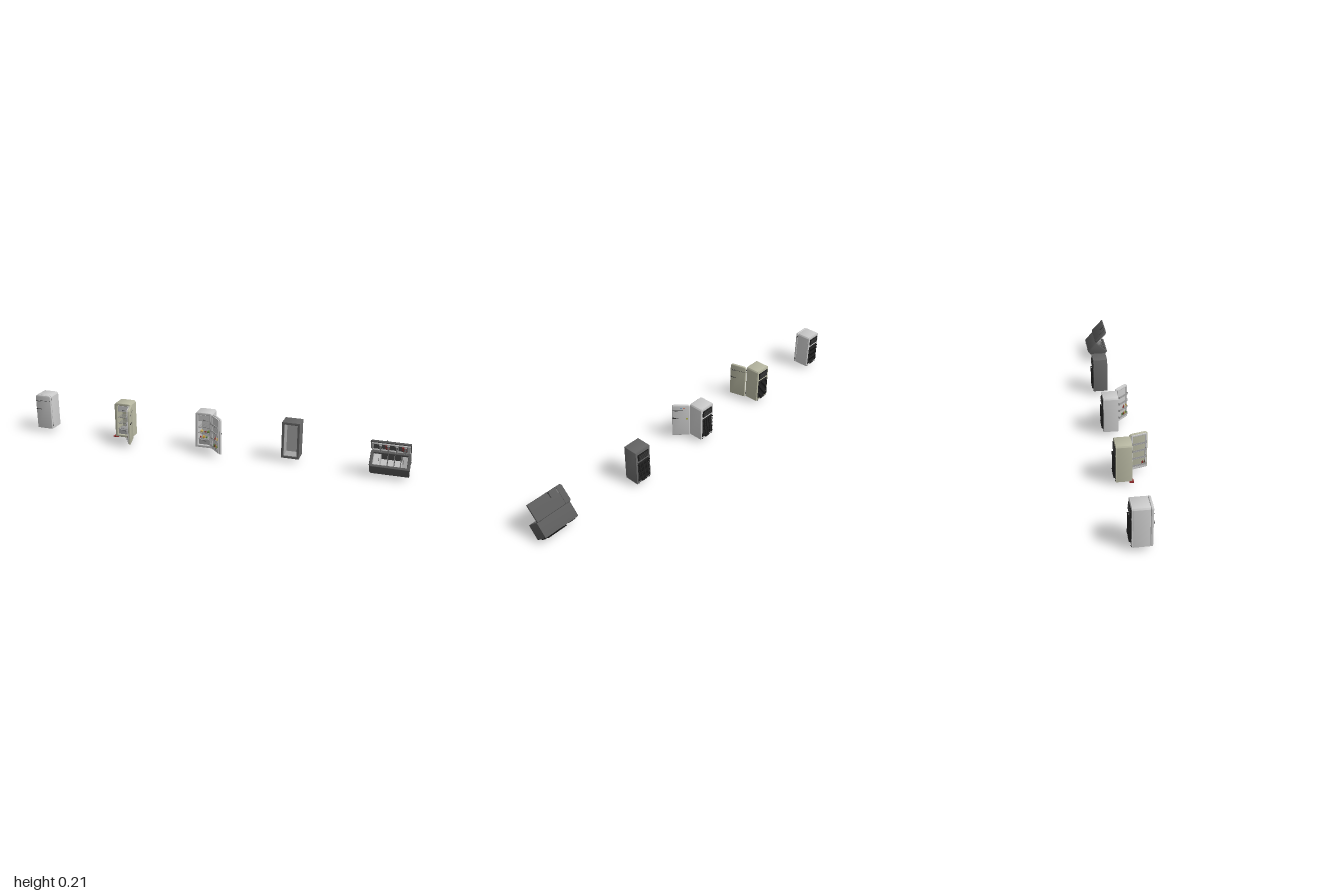
import * as THREE from 'three';
import { toCreasedNormals } from 'three/addons/utils/BufferGeometryUtils.js';

const W = 0.09, H = 0.189, D = 0.076, WALL = 0.011;
const mats = {};
const mat = (color) => (mats[color] ??= new THREE.MeshStandardMaterial({ color }));

function add(parent, name, geometry, color, x = 0, y = 0, z = 0) {
  const mesh = new THREE.Mesh(geometry, mat(color));
  mesh.name = name;
  mesh.position.set(x, y, z);
  parent.add(mesh);
  return mesh;
}
const box = (parent, name, w, h, d, color, x, y, z) =>
  add(parent, name, new THREE.BoxGeometry(w, h, d), color, x, y, z);

// Upright outline, base on y = y0, with rounded upper corners
function outline(Type, w, h, r, y0 = 0) {
  const s = new Type();
  const x = w / 2, top = y0 + h;
  s.moveTo(-x, y0);
  s.lineTo(x, y0);
  s.lineTo(x, top - r);
  s.absarc(x - r, top - r, r, 0, Math.PI / 2, false);
  s.lineTo(-x + r, top);
  s.absarc(-x + r, top - r, r, Math.PI / 2, Math.PI, false);
  s.closePath();
  return s;
}

// Extruded slab occupying z from z0 to z0 + depth, bevel included
function slab(w, h, r, z0, depth, bevel, hole) {
  const b = bevel;
  const s = outline(THREE.Shape, w - 2 * b, h - 2 * b, Math.max(r - b, 0.0005), b);
  if (hole) s.holes.push(hole);
  const g = new THREE.ExtrudeGeometry(s, {
    depth: depth - 2 * b, bevelEnabled: true, bevelSize: b, bevelThickness: b,
    bevelSegments: 3, curveSegments: 8,
  });
  g.translate(0, 0, z0 + b);
  return toCreasedNormals(g, 0.6);
}

// Cabinet shell with a lined cavity open to the front
function cabinet(parent, color, liner, radius) {
  const g = new THREE.Group();
  g.name = 'cabinet';
  parent.add(g);
  const iw = W - 2 * WALL, ih = H - 2 * WALL, zc = -0.037;
  const bevel = radius > 0.005 ? 0.002 : 0.0006;
  const hole = outline(THREE.Path, iw, ih, 0.002, WALL);
  add(g, 'shell', slab(W, H, radius, -D + 0.004, D - 0.004, bevel, hole), color);
  add(g, 'backPanel', slab(W, H, radius, -D, 0.006, bevel), color);
  box(g, 'linerBack', iw, ih, 0.002, liner, 0, H / 2, -0.067);
  for (const s of [-1, 1]) {
    box(g, 'linerSide', 0.0016, ih, 0.066, liner, s * (iw / 2 - 0.0006), H / 2, zc);
    box(g, 'linerEnd', iw, 0.0016, 0.066, liner, 0, H / 2 + s * (ih / 2 - 0.0006), zc);
  }
}

// Vent, condenser coil and compressor on the rear
function rear(parent) {
  const g = new THREE.Group();
  g.name = 'rear';
  parent.add(g);
  const black = 0x1c1c1c;
  box(g, 'ventFrame', 0.066, 0.036, 0.004, black, 0, 0.154, -D - 0.002);
  for (let i = 0; i < 6; i++)
    box(g, 'ventSlat', 0.056, 0.0025, 0.002, 0x333333, 0, 0.141 + i * 0.0052, -D - 0.0045);
  box(g, 'recessPlate', 0.07, 0.112, 0.001, 0x252525, 0, 0.068, -D - 0.0004);

  // Serpentine tube
  const pts = [];
  const rows = 9, x = 0.033, z = -D - 0.006;
  for (let i = 0; i < rows; i++) {
    const y = 0.021 + i * 0.0122, s = i % 2 ? 1 : -1;
    for (const k of [-1, -0.85, 0.85, 1]) pts.push(new THREE.Vector3(-s * k * -x, y, z));
  }
  const path = new THREE.CatmullRomCurve3(pts, false, 'catmullrom', 0.2);
  add(g, 'condenserCoil', new THREE.TubeGeometry(path, 180, 0.0014, 6), black);
  for (let i = 0; i < 13; i++)
    box(g, 'condenserWire', 0.0012, 0.102, 0.001, black, -0.03 + i * 0.005, 0.07, z - 0.0018);
  for (const s of [-1, 1])
    for (const y of [0.024, 0.115])
      box(g, 'coilBracket', 0.004, 0.004, 0.008, black, s * 0.034, y, -D - 0.004);

  // Compressor pot and rear feet
  const pot = add(g, 'compressor', new THREE.CylinderGeometry(0.006, 0.006, 0.026, 16), black, 0, 0.009, -D - 0.001);
  pot.rotation.z = Math.PI / 2;
  for (const s of [-1, 1]) box(g, 'rearFoot', 0.007, 0.004, 0.006, black, s * 0.034, 0.001, -D + 0.002);
}

// Freezer box, wire shelves and crisper drawer
function interior(parent) {
  const g = new THREE.Group();
  g.name = 'interior';
  parent.add(g);
  const iw = W - 2 * WALL - 0.002;
  box(g, 'freezerBox', iw, 0.036, 0.052, 0xb8b8b8, 0, 0.157, -0.039);
  box(g, 'freezerDoor', iw - 0.008, 0.028, 0.002, 0xd8d8d8, 0, 0.157, -0.0125);
  box(g, 'freezerLatch', 0.014, 0.003, 0.002, 0x555555, 0, 0.147, -0.011);
  for (const y of [0.045, 0.075, 0.107]) {
    box(g, 'shelfFrontRail', iw, 0.002, 0.002, 0x888888, 0, y, -0.008);
    for (let i = 0; i < 12; i++)
      box(g, 'shelfWire', 0.0014, 0.0012, 0.057, 0x888888, -iw / 2 + 0.003 + i * (iw - 0.006) / 11, y, -0.037);
  }
  box(g, 'crisperDrawer', iw - 0.004, 0.026, 0.05, 0xa8a8a8, 0, 0.026, -0.037);
  box(g, 'drawerPull', 0.02, 0.003, 0.003, 0x666666, 0, 0.033, -0.011);
}

// Door hung on the left edge; its group turns about the hinge
function door(parent, color, angle) {
  const hinge = new THREE.Group();
  hinge.name = 'door';
  hinge.position.set(W / 2, 0, 0.0005);
  hinge.rotation.y = THREE.MathUtils.degToRad(angle);
  parent.add(hinge);
  const g = new THREE.Group();
  g.position.x = -W / 2;
  hinge.add(g);
  add(g, 'doorPanel', slab(W, H, 0.012, 0, 0.012, 0.004), color);
  box(g, 'doorTrim', W - 0.004, 0.0014, 0.001, 0x444444, 0, 0.158, 0.0119);
  box(g, 'badgePlate', 0.018, 0.004, 0.0012, 0x777777, -0.024, 0.154, 0.0122);
  box(g, 'handleBase', 0.008, 0.006, 0.003, 0x333333, -0.039, 0.111, 0.0125);
  const handle = add(g, 'handle', new THREE.CapsuleGeometry(0.0017, 0.026, 4, 8), 0x333333, -0.027, 0.111, 0.0145);
  handle.rotation.z = Math.PI / 2;
  for (const y of [0.02, 0.168]) box(g, 'hingePlate', 0.003, 0.009, 0.006, 0x444444, W / 2, y, 0.004);

  if (angle) {
    // Inner liner, gasket rim and door racks
    const rim = outline(THREE.Path, W - 0.026, H - 0.03, 0.004, 0.015);
    add(g, 'doorRim', slab(W - 0.012, H - 0.008, 0.008, -0.005, 0.006, 0.001, rim).translate(0, 0.004, 0), 0xc4c4c4);
    for (const y of [0.022, 0.062, 0.1, 0.137]) {
      box(g, 'rackFloor', W - 0.022, 0.002, 0.012, 0xa0a0a0, 0, y, -0.006);
      box(g, 'rackRail', W - 0.022, 0.006, 0.0015, 0xa0a0a0, 0, y + 0.006, -0.0118);
      for (const s of [-1, 1]) box(g, 'rackSide', 0.0015, 0.012, 0.012, 0xa0a0a0, s * (W / 2 - 0.011), y + 0.005, -0.006);
    }
  }
  return g;
}

function fridge(name, color, { angle = 0, liner = 0xcccccc, radius = 0.012, bare = false } = {}) {
  const g = new THREE.Group();
  g.name = name;
  cabinet(g, color, liner, radius);
  rear(g);
  if (bare) return { g };
  interior(g);
  return { g, doorGroup: door(g, color, angle) };
}

// Row of bottles standing in a door rack
function bottles(parent, y, colors) {
  const profile = [[0, 0], [0.0035, 0], [0.0035, 0.013], [0.0014, 0.018], [0.0014, 0.022], [0, 0.022]]
    .map(([x, h]) => new THREE.Vector2(x, h));
  colors.forEach((c, i) =>
    add(parent, 'bottle', new THREE.LatheGeometry(profile, 10), c, -0.027 + i * 0.0105, y + 0.001, -0.0065));
}

export function createModel() {
  const model = new THREE.Group();
  model.name = 'fridgeRow';
  const place = (f, x) => {
    f.g.position.set(x, 0.027, 0);
    model.add(f.g);
    return f;
  };

  place(fridge('closedFridge', 0xcccccc), -0.954);

  const worn = place(fridge('wornFridge', 0xb8b8a2, { angle: 105, liner: 0xb4b69c }), -0.489);
  box(worn.g, 'redScrap', 0.03, 0.004, 0.02, 0x8c2a2a, -0.042, 0.0005, -0.004);
  bottles(worn.doorGroup, 0.022, [0x5a4630, 0x8c2a2a]);

  // Stocked fridge with food and door magnets
  const stocked = place(fridge('stockedFridge', 0xcccccc, { angle: 134 }), -0.037);
  const food = [
    [-0.022, 0.046, 0x9c3028], [-0.007, 0.046, 0xc8a040], [0.01, 0.046, 0x4f7a34],
    [-0.018, 0.076, 0xc8b060], [0.004, 0.076, 0x8a3428], [0.02, 0.076, 0x6a8a3a],
  ];
  food.forEach(([x, y, c], i) => (i % 2
    ? box(stocked.g, 'foodBox', 0.012, 0.009, 0.016, c, x, y + 0.0045, -0.024)
    : add(stocked.g, 'fruit', new THREE.SphereGeometry(0.005, 12, 8), c, x, y + 0.005, -0.018)));
  bottles(stocked.doorGroup, 0.022, [0x4f7a34, 0xc8b060, 0x8a3428, 0x4f7a34]);
  bottles(stocked.doorGroup, 0.062, [0xc8a040, 0xe0e0d0, 0x9c3028]);
  [[0.001, 0.172, 0x3c8fd0], [0.016, 0.172, 0xd8502c]].forEach(([x, y, c]) => {
    add(stocked.doorGroup, 'magnet', new THREE.CylinderGeometry(0.0032, 0.0032, 0.002, 12), c, x, y, 0.0125).rotation.x = Math.PI / 2;
  });
  box(stocked.doorGroup, 'note', 0.012, 0.01, 0.0006, 0xb4b850, 0.03, 0.106, 0.0122);

  place(fridge('doorlessFridge', 0x666666, { liner: 0xa4a4a4, radius: 0.001, bare: true }), 0.416);

  // Toppled fridge, lying along x with its front tipped upward
  const fallen = fridge('fallenFridge', 0x5a5a5a, { angle: 87 });
  bottles(fallen.doorGroup, 0.022, [0x8c2a2a, 0x8c2a2a, 0x444444, 0x8c2a2a, 0x444444]);
  bottles(fallen.doorGroup, 0.1, [0x8c2a2a, 0x444444, 0x8c2a2a, 0x8c2a2a]);
  const a = THREE.MathUtils.degToRad(48.7);
  fallen.g.quaternion.setFromRotationMatrix(new THREE.Matrix4().makeBasis(
    new THREE.Vector3(0, Math.cos(a), -Math.sin(a)),
    new THREE.Vector3(-1, 0, 0),
    new THREE.Vector3(0, Math.sin(a), Math.cos(a))));
  fallen.g.position.set(0.997, 0.095, 0.021);
  model.add(fallen.g);
  return model;
}
